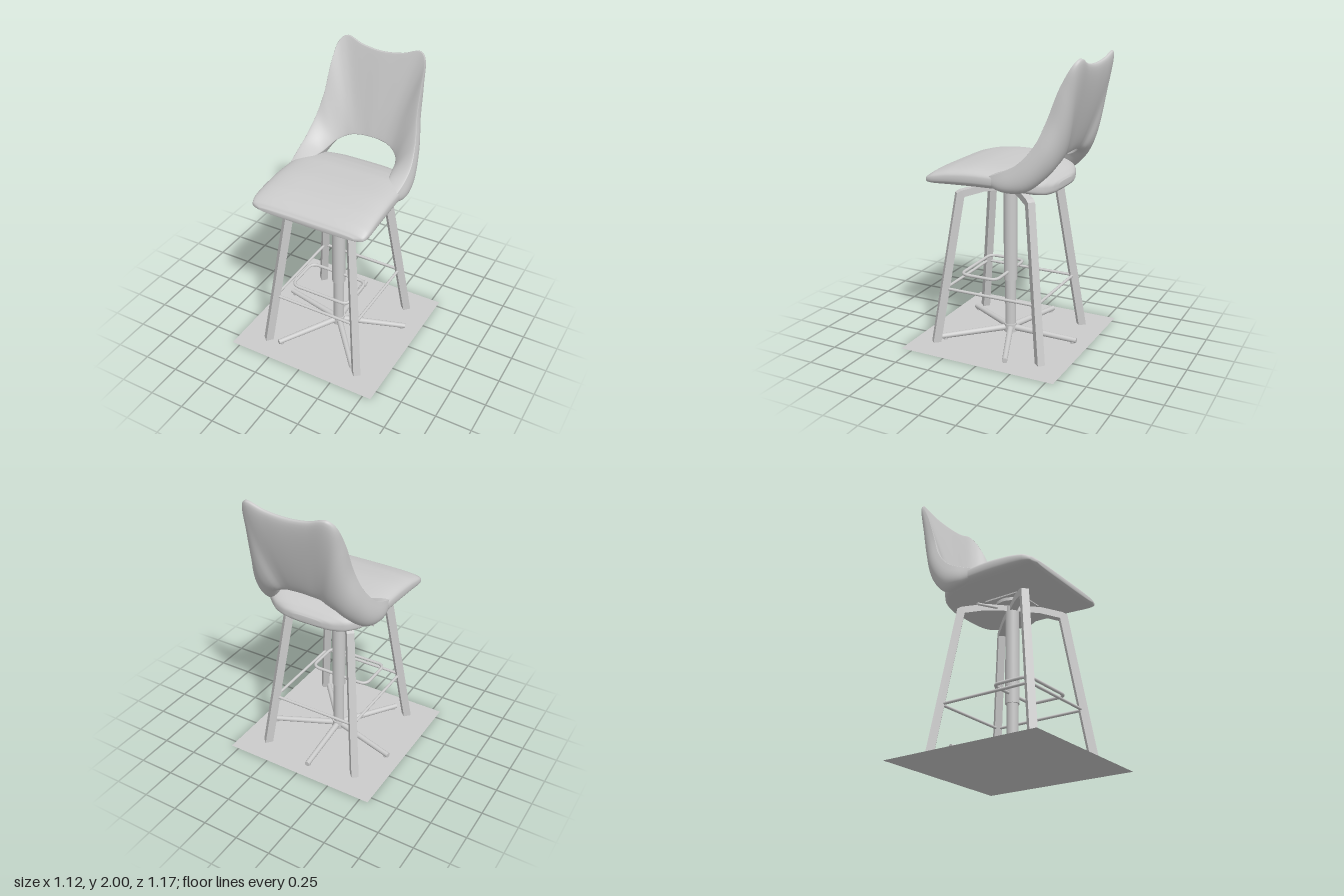
import * as THREE from 'three';

const V = (x, y, z) => new THREE.Vector3(x, y, z);
const grey = new THREE.MeshStandardMaterial({ color: 0xcccccc });
const CX = 0.005, CZ = 0.025; // column axis

function add(parent, name, geometry, material = grey) {
  const mesh = new THREE.Mesh(geometry, material);
  mesh.name = name;
  parent.add(mesh);
  return mesh;
}

// Straight round bar between two points
function rod(parent, name, a, b, r0, r1 = r0, sides = 16) {
  const mesh = add(parent, name, new THREE.CylinderGeometry(r1, r0, a.distanceTo(b), sides));
  mesh.position.copy(a).add(b).multiplyScalar(0.5);
  mesh.quaternion.setFromUnitVectors(V(0, 1, 0), b.clone().sub(a).normalize());
  return mesh;
}

// Smooth skin over closed rings, each end closed to its ring's centre
function loft(rings) {
  const n = rings[0].length;
  const cap = (ring) => {
    const c = ring.reduce((s, p) => s.add(p), V(0, 0, 0)).divideScalar(n);
    return ring.map(() => c);
  };
  const all = [cap(rings[0]), ...rings, cap(rings[rings.length - 1])];
  const index = [];
  for (let i = 0; i < all.length - 1; i++) {
    for (let j = 0; j < n; j++) {
      const a = i * n + j, b = i * n + ((j + 1) % n);
      index.push(a, b, a + n, b, b + n, a + n);
    }
  }
  const g = new THREE.BufferGeometry().setFromPoints(all.flat());
  g.setIndex(index);
  g.computeVertexNormals();
  return g;
}

const power = (v, e) => Math.sign(v) * Math.abs(v) ** e;

// Cushion: stations from back to front [z, half width, top, bottom]
function seatGeometry() {
  const stations = [
    [-0.38, 0.10, 1.175, 1.135], [-0.37, 0.18, 1.19, 1.12], [-0.34, 0.27, 1.215, 1.11],
    [-0.28, 0.35, 1.245, 1.12], [-0.2, 0.395, 1.268, 1.135], [-0.1, 0.41, 1.283, 1.14],
    [0.1, 0.418, 1.288, 1.138], [0.28, 0.422, 1.27, 1.135], [0.39, 0.422, 1.24, 1.135],
    [0.44, 0.405, 1.208, 1.143], [0.46, 0.34, 1.185, 1.155]];
  const size = new THREE.CatmullRomCurve3(stations.map(([, w, t, b]) => V(w, t, b)));
  const along = new THREE.CatmullRomCurve3(stations.map(([z]) => V(0, 0, z)));
  const rings = [];
  for (let i = 0; i <= 50; i++) {
    const s = size.getPoint(i / 50), z = along.getPoint(i / 50).z;
    const mid = (s.y + s.z) / 2, half = (s.y - s.z) / 2;
    rings.push(Array.from({ length: 56 }, (_, j) => {
      const a = (j / 56) * Math.PI * 2;
      return V(CX + s.x * power(Math.cos(a), 0.5), mid + half * power(Math.sin(a), 0.65), z);
    }));
  }
  return loft(rings);
}

// Backrest with arms: sections run from arch edge to outer edge, and bulge to the rear
function backrestGeometry() {
  const rows = [ // inner edge, outer edge, rear bulge; from arm tip to centre
    [0.34, 1.24, 0.02, 0.40, 1.23, 0.02, 0.37, 1.19, 0.02],
    [0.29, 1.265, -0.12, 0.41, 1.285, -0.12, 0.39, 1.15, -0.12],
    [0.265, 1.27, -0.22, 0.405, 1.345, -0.225, 0.375, 1.165, -0.26],
    [0.25, 1.285, -0.30, 0.38, 1.47, -0.33, 0.34, 1.30, -0.40],
    [0.225, 1.31, -0.35, 0.352, 1.62, -0.395, 0.30, 1.44, -0.475],
    [0.18, 1.335, -0.385, 0.338, 1.82, -0.47, 0.265, 1.57, -0.515],
    [0.13, 1.355, -0.40, 0.315, 1.96, -0.545, 0.225, 1.66, -0.53],
    [0.10, 1.36, -0.405, 0.27, 1.995, -0.57, 0.185, 1.68, -0.535],
    [0.05, 1.365, -0.41, 0.15, 1.957, -0.562, 0.10, 1.67, -0.535],
    [0, 1.367, -0.41, 0, 1.94, -0.555, 0, 1.665, -0.535]];
  const curve = (k) => {
    const half = rows.map((r) => V(r[k], r[k + 1], r[k + 2]));
    const mirrored = half.slice(0, -1).reverse().map((p) => V(-p.x, p.y, p.z));
    return new THREE.CatmullRomCurve3([...half, ...mirrored]);
  };
  const [inner, outer, rear] = [0, 3, 6].map(curve);
  const rings = [];
  for (let i = 0; i <= 108; i++) {
    const L = inner.getPoint(i / 108), U = outer.getPoint(i / 108), M = rear.getPoint(i / 108);
    const c = L.clone().add(U).multiplyScalar(0.5);
    const a = U.clone().sub(c), b = M.sub(c);
    rings.push(Array.from({ length: 40 }, (_, j) => {
      const t = (j / 40) * Math.PI * 2, s = Math.sin(t);
      const depth = s > 0 ? power(s, 0.7) : 0.08 * s;
      const p = c.clone().addScaledVector(a, Math.cos(t)).addScaledVector(b, depth);
      p.x += CX;
      return p;
    }));
  }
  return loft(rings);
}

// Bent leg: half of a top cross arm and one splayed post
function legGeometry() {
  const outline = [[0, 1.115], [0.2, 1.108], [0.345, 1.08], [0.375, 1.065], [0.56, 0.005],
    [0.505, 0.005], [0.325, 1.035], [0.19, 1.062], [0, 1.068]];
  const shape = new THREE.Shape(outline.map(([r, y]) => new THREE.Vector2(r, y)));
  const g = new THREE.ExtrudeGeometry(shape, { depth: 0.05, bevelEnabled: false });
  return g.translate(0, 0, -0.025);
}

// Rounded rectangular foot ring in the horizontal plane
function footRingGeometry(x0, x1, z0, z1, y, r) {
  const path = new THREE.CurvePath();
  const corners = [[x0, z0], [x1, z0], [x1, z1], [x0, z1]].map(([x, z]) => V(x, y, z));
  const toward = (a, b) => a.clone().add(b.clone().sub(a).setLength(r));
  corners.forEach((c, i) => {
    const prev = corners[(i + 3) % 4], next = corners[(i + 1) % 4];
    path.add(new THREE.QuadraticBezierCurve3(toward(c, prev), c, toward(c, next)));
    path.add(new THREE.LineCurve3(toward(c, next), toward(next, c)));
  });
  return new THREE.TubeGeometry(path, 120, 0.011, 10, true);
}

export function createModel() {
  const model = new THREE.Group();
  model.name = 'swivelBarStool';

  // Floor sheet
  const sheet = new THREE.MeshStandardMaterial({ color: 0xcccccc, side: THREE.DoubleSide });
  const floor = new THREE.PlaneGeometry(1.12, 1.13).rotateX(-Math.PI / 2).translate(0, 0, 0.015);
  add(model, 'floorSheet', floor, sheet);

  // Upholstery
  add(model, 'seat', seatGeometry());
  add(model, 'backrest', backrestGeometry());

  // Swivel mechanism and height lever
  const swivel = new THREE.Group();
  swivel.name = 'swivel';
  model.add(swivel);
  add(swivel, 'swivelPlate', new THREE.BoxGeometry(0.26, 0.012, 0.26)).position.set(CX, 1.136, CZ);
  add(swivel, 'swivelDisc', new THREE.CylinderGeometry(0.11, 0.11, 0.025, 32)).position.set(CX, 1.12, CZ);
  rod(swivel, 'lever', V(-0.04, 1.1, -0.04), V(-0.3, 1.03, -0.04), 0.009);

  // Column
  rod(model, 'upperColumn', V(CX, 0.41, CZ), V(CX, 1.1, CZ), 0.047, 0.047, 32);
  rod(model, 'lowerColumn', V(CX, 0.03, CZ), V(CX, 0.42, CZ), 0.038, 0.038, 32);
  rod(model, 'hub', V(CX, 0.02, CZ), V(CX, 0.08, CZ), 0.046, 0.046, 32);

  // Four legs and the square of rails between them
  const angle = 0.832;
  const angles = [angle, Math.PI - angle, Math.PI + angle, -angle];
  const legShape = legGeometry();
  const railPoint = (a) => V(CX + 0.462 * Math.cos(a), 0.39, CZ + 0.462 * Math.sin(a));
  angles.forEach((a, i) => {
    const leg = add(model, 'leg', legShape);
    leg.position.set(CX, 0, CZ);
    leg.rotation.y = -a;
    rod(model, 'rail', railPoint(a), railPoint(angles[(i + 1) % 4]), 0.01);
  });

  // Foot ring fixed to the column
  add(model, 'footRing', footRingGeometry(-0.215, 0.225, 0.025, 0.298, 0.475, 0.06));

  // Five-spoke star base with glides
  for (let i = 0; i < 5; i++) {
    const a = THREE.MathUtils.degToRad(50 + 72 * i);
    const at = (r, y) => V(CX + r * Math.cos(a), y, CZ + r * Math.sin(a));
    rod(model, 'baseSpoke', at(0.02, 0.05), at(0.49, 0.028), 0.022, 0.018);
    rod(model, 'glide', at(0.465, 0.005), at(0.465, 0.03), 0.015);
  }
  return model;
}
